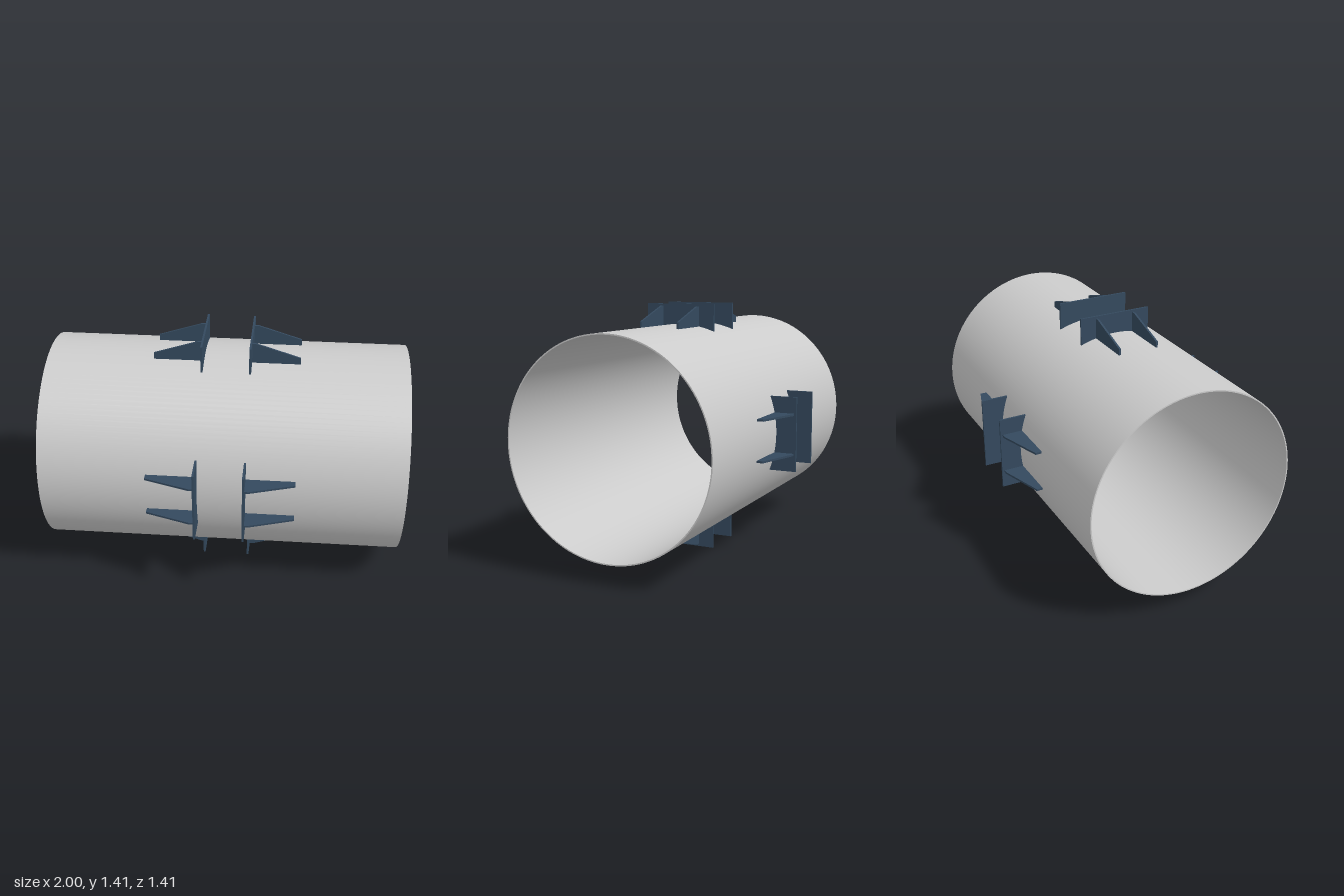
import * as THREE from 'three';

const R = 0.59;        // pipe outer radius
const INNER = 0.583;   // pipe inner radius
const REACH = 0.705;   // distance from axis to the plates' outer edge

export function createModel() {
  const model = new THREE.Group();
  const pipeMat = new THREE.MeshStandardMaterial({ color: 0xcccccc, side: THREE.DoubleSide });
  const steelMat = new THREE.MeshStandardMaterial({ color: 0x34495e });

  const add = (parent, name, geometry, material) => {
    const mesh = new THREE.Mesh(geometry, material);
    mesh.name = name;
    parent.add(mesh);
    return mesh;
  };

  // Thin-walled pipe along x
  const pipe = new THREE.Group();
  pipe.name = 'pipe';
  for (const [name, r] of [['outerWall', R], ['innerWall', INNER]]) {
    add(pipe, name, new THREE.CylinderGeometry(r, r, 2, 128, 1, true).rotateZ(Math.PI / 2), pipeMat);
  }
  for (const side of [-1, 1]) {
    const rim = add(pipe, 'endRim', new THREE.RingGeometry(INNER, R, 128).rotateY(side * Math.PI / 2), pipeMat);
    rim.position.x = side;
  }
  model.add(pipe);

  // Upright plate with its inner edge cut to the pipe's curve
  const half = 0.208;
  const a = Math.asin(half / R);
  const plateShape = new THREE.Shape();
  plateShape.moveTo(half, R * Math.cos(a));
  plateShape.lineTo(half, REACH);
  plateShape.lineTo(-half, REACH);
  plateShape.lineTo(-half, R * Math.cos(a));
  plateShape.absarc(0, 0, R, Math.PI / 2 + a, Math.PI / 2 - a, true);
  const plateGeo = new THREE.ExtrudeGeometry(plateShape, { depth: 0.011, bevelEnabled: false, curveSegments: 24 })
    .rotateY(Math.PI / 2).translate(0.127, 0, 0);

  // Tapered gusset bracing the plate against the pipe
  const gussetShape = new THREE.Shape([
    [0.137, 0.578], [0.405, 0.578], [0.405, 0.614], [0.16, 0.692], [0.137, 0.692],
  ].map(([x, y]) => new THREE.Vector2(x, y)));
  const gussetGeo = new THREE.ExtrudeGeometry(gussetShape, { depth: 0.011, bevelEnabled: false })
    .translate(0, 0, -0.0055);

  // Four stations around the pipe, each a facing pair of braced plates
  for (let i = 0; i < 4; i++) {
    const station = new THREE.Group();
    station.name = 'bracketPair';
    station.rotation.x = i * Math.PI / 2;
    for (const turn of [0, Math.PI]) {
      const bracket = new THREE.Group();
      bracket.name = 'bracket';
      bracket.rotation.y = turn;
      add(bracket, 'plate', plateGeo, steelMat);
      for (const z of [-0.112, 0.112]) add(bracket, 'gusset', gussetGeo, steelMat).position.z = z;
      station.add(bracket);
    }
    model.add(station);
  }

  model.position.y = REACH;
  const root = new THREE.Group();
  root.name = 'pipeWithBrackets';
  root.add(model);
  return root;
}
